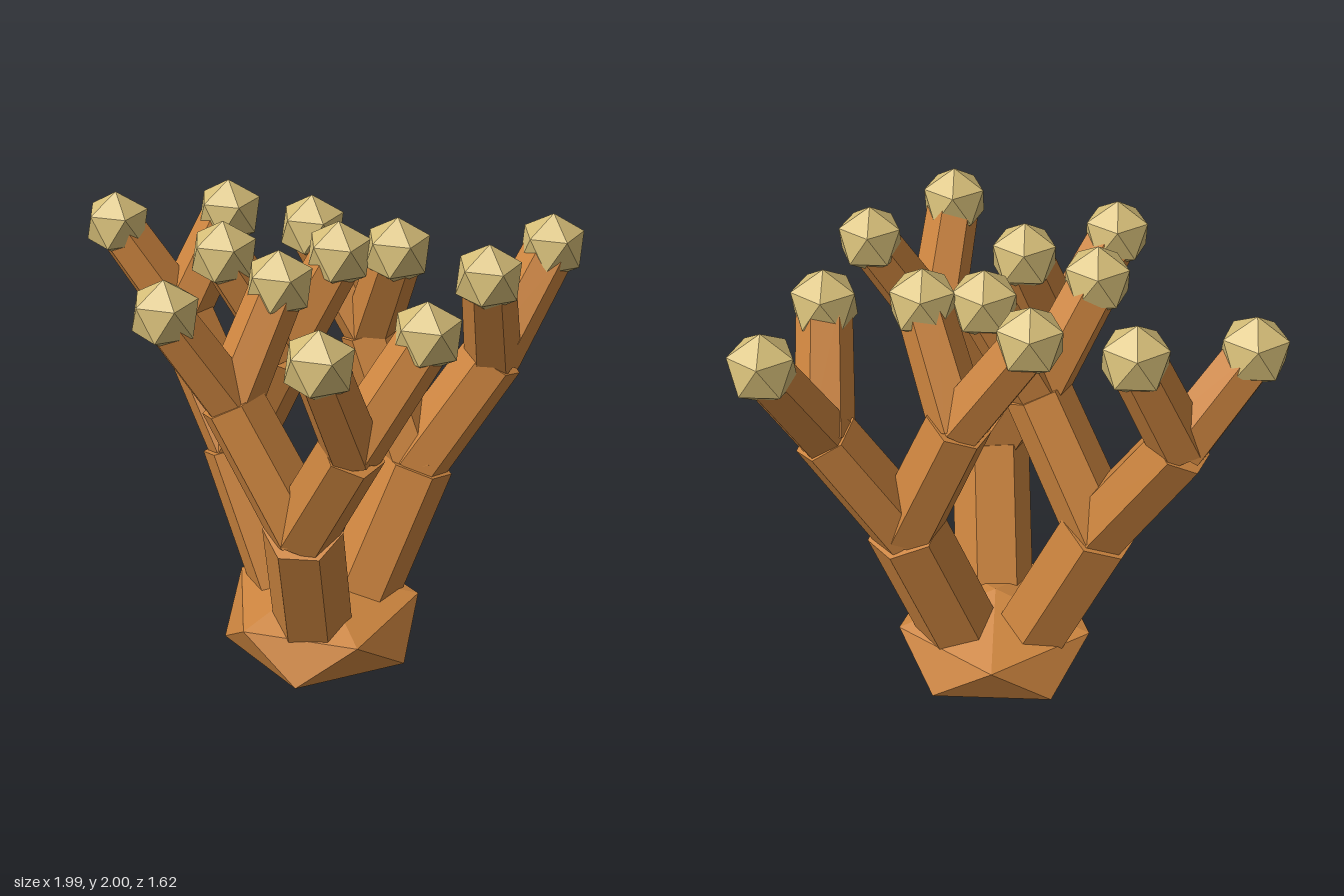
import * as THREE from 'three';

export function createModel() {
  const model = new THREE.Group();
  model.name = 'branchingCoral';

  const bark = new THREE.MeshStandardMaterial({ color: 0xcd853f, flatShading: true });
  bark.name = 'orange brown';
  const pale = new THREE.MeshStandardMaterial({ color: 0xd6be78, flatShading: true });
  pale.name = 'pale sand';

  const V = (p) => new THREE.Vector3(...p);

  // Icosahedron standing on a vertex, its upper ring pointing to +x
  function uprightIcosahedron() {
    const geo = new THREE.IcosahedronGeometry(1, 0);
    const t = (1 + Math.sqrt(5)) / 2;
    geo.rotateZ(Math.atan2(1, t)); // brings vertex (1, t, 0) to the top
    geo.rotateZ(0);
    const up = new THREE.Vector3(0, 1, 0);
    const pos = geo.attributes.position;
    const v = new THREE.Vector3();
    // turn about y so that one upper ring vertex lies on +x
    let angle = 0;
    for (let i = 0; i < pos.count; i++) {
      v.fromBufferAttribute(pos, i);
      if (Math.abs(v.y - 1 / Math.sqrt(5)) < 0.01) { angle = Math.atan2(v.z, v.x); break; }
    }
    geo.applyQuaternion(new THREE.Quaternion().setFromAxisAngle(up, angle));
    return geo;
  }
  const ico = uprightIcosahedron();

  function addKnob(name, center, radii, material) {
    const mesh = new THREE.Mesh(ico, material);
    mesh.name = name;
    mesh.position.copy(V(center));
    mesh.scale.set(...radii);
    model.add(mesh);
  }

  // Tapered six-sided branch between two points
  function addBranch(name, from, to, r0, r1) {
    const a = V(from), b = V(to), dir = b.clone().sub(a);
    const geo = new THREE.CylinderGeometry(r1, r0, dir.length(), 6);
    geo.rotateY(1.4);
    const mesh = new THREE.Mesh(geo, bark);
    mesh.name = name;
    mesh.position.copy(a).add(b).multiplyScalar(0.5);
    mesh.quaternion.setFromUnitVectors(new THREE.Vector3(0, 1, 0), dir.normalize());
    model.add(mesh);
  }

  // Squashed rock at the foot
  addKnob('base', [-0.07, 0.21, -0.105], [0.46, 0.21, 0.46], bark);

  // Three trunks, each forking twice
  const trunks = [
    { from: [-0.11, 0.25, 0.05], to: [-0.16, 0.89, 0.3], forks: [
      { to: [-0.42, 1.42, 0.2], tips: [[-0.23, 1.85, 0.09], [-0.655, 1.812, 0.245]] },
      { to: [0.02, 1.37, 0.51], tips: [[0.29, 1.805, 0.465], [-0.11, 1.815, 0.69]] },
    ] },
    { from: [0.08, 0.25, -0.15], to: [0.33, 0.89, -0.22], forks: [
      { to: [0.63, 1.37, -0.21], tips: [[0.57, 1.812, 0], [0.868, 1.782, -0.35]] },
      { to: [0.15, 1.43, -0.36], tips: [[0.235, 1.858, -0.17], [-0.08, 1.825, -0.49]] },
    ] },
    { from: [-0.19, 0.25, -0.22], to: [-0.4, 0.89, -0.42], forks: [
      { to: [-0.62, 1.39, -0.65], tips: [[-0.867, 1.777, -0.685], [-0.41, 1.815, -0.695]] },
      { to: [-0.2, 1.43, -0.21], tips: [[-0.435, 1.858, -0.175], [0.01, 1.835, -0.2]] },
    ] },
  ];

  for (const trunk of trunks) {
    addBranch('trunk', trunk.from, trunk.to, 0.165, 0.16);
    for (const fork of trunk.forks) {
      addBranch('branch', trunk.to, fork.to, 0.138, 0.13);
      for (const tip of fork.tips) {
        addBranch('twig', fork.to, tip, 0.115, 0.105);
        addKnob('tip', tip, [0.14, 0.14, 0.14], pale);
      }
    }
  }
  return model;
}
